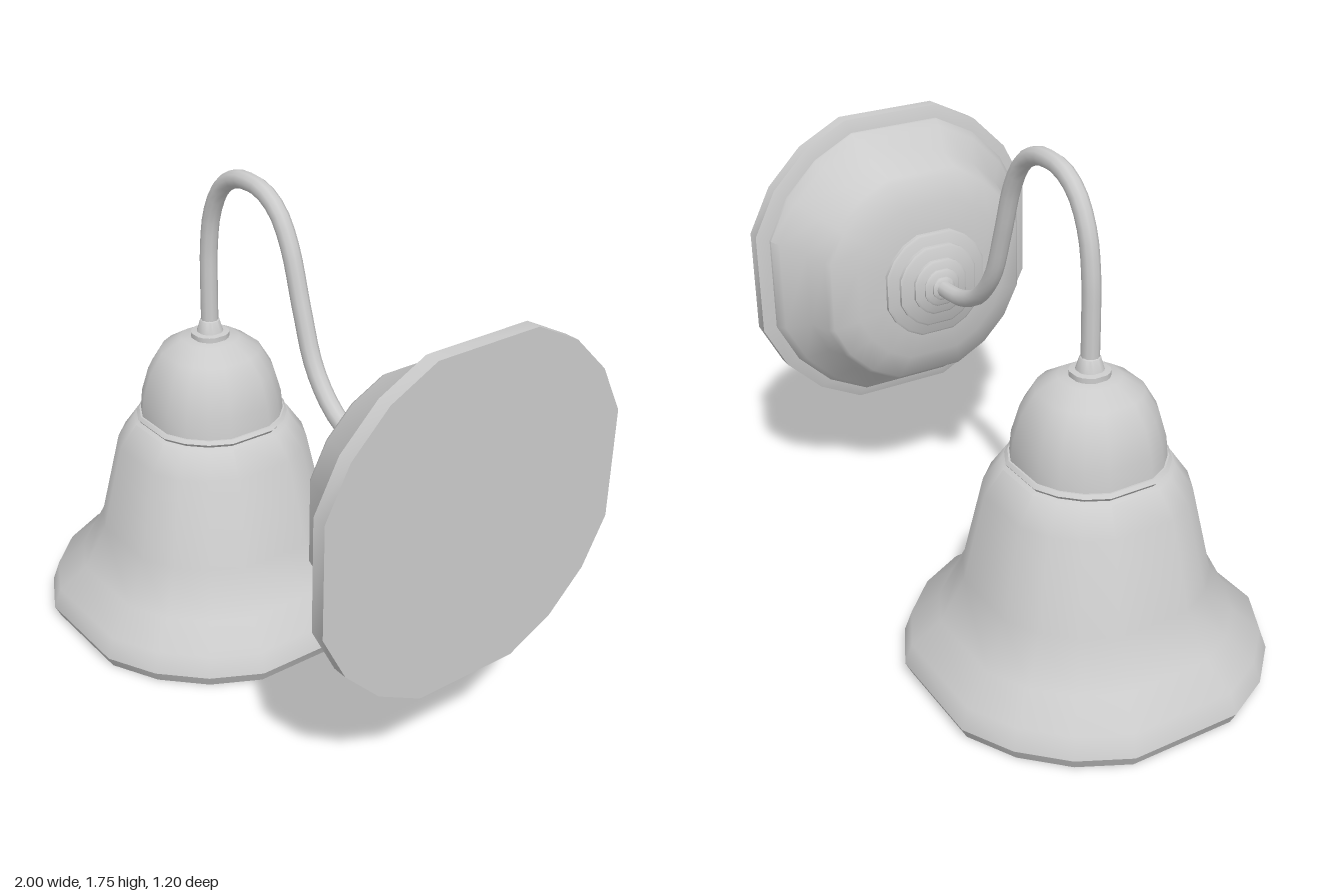
import * as THREE from 'three';
import { toCreasedNormals } from 'three/addons/utils/BufferGeometryUtils.js';

const material = new THREE.MeshStandardMaterial({ color: 0xcccccc });
const SIDES = 16;
const FLAT = 0.949; // half-width across the wide flats relative to the corner radius

function addMesh(group, name, geometry) {
  const mesh = new THREE.Mesh(geometry, material);
  mesh.name = name;
  group.add(mesh);
  return mesh;
}

// Turned part with 16 sides, four of them wide; profile is [half-width, height], bottom to top
function turned(profile) {
  const points = profile.map(([r, y]) => new THREE.Vector2(r / FLAT, y));
  const geometry = new THREE.LatheGeometry(points, SIDES, Math.PI / SIDES);
  const p = geometry.attributes.position;
  for (let i = 0; i < p.count; i++) {
    const x = p.getX(i), z = p.getZ(i);
    const r = Math.hypot(x, z);
    const quarter = Math.PI / 2;
    const angle = Math.atan2(x, z);
    const middle = (Math.floor(angle / quarter) + 0.5) * quarter;
    // Draw the corners of each quarter towards its diagonal
    const moved = middle + (angle - middle) * 0.788;
    p.setXYZ(i, r * Math.sin(moved), p.getY(i), r * Math.cos(moved));
  }
  return toCreasedNormals(geometry, 0.75);
}

export function createModel() {
  const lamp = new THREE.Group();
  lamp.name = 'wallLamp';

  // Bell with bulb, hanging on its own axis
  const head = new THREE.Group();
  head.name = 'lampHead';
  head.position.x = -0.4;
  lamp.add(head);

  // Hollow shade: down the inside, round the rim, up the outside
  addMesh(head, 'shade', turned([
    [0, 0.75], [0.24, 0.74], [0.3, 0.66], [0.37, 0.36], [0.45, 0.19],
    [0.54, 0.11], [0.555, 0.045], [0.55, 0.003], [0.58, 0.003], [0.6, 0.045],
    [0.575, 0.12], [0.48, 0.2], [0.4, 0.36], [0.33, 0.68], [0.27, 0.77], [0.2, 0.79],
  ]));
  addMesh(head, 'capRing', turned([
    [0.22, 0.775], [0.252, 0.775], [0.262, 0.788], [0.252, 0.8], [0.22, 0.8],
  ]));
  addMesh(head, 'cap', turned([
    [0.247, 0.79], [0.24, 0.87], [0.215, 0.96], [0.17, 1.04], [0.1, 1.085], [0, 1.09],
  ]));
  addMesh(head, 'collar', turned([
    [0.065, 1.08], [0.065, 1.105], [0.045, 1.108], [0.033, 1.15], [0.025, 1.155],
  ]));

  // Bulb and its socket
  addMesh(head, 'bulb', new THREE.SphereGeometry(0.15, 20, 14)).position.y = 0.36;
  addMesh(head, 'bulbSocket', turned([
    [0, 0.44], [0.1, 0.45], [0.08, 0.56], [0.08, 0.76],
  ]));

  // Swan-neck arm
  const path = new THREE.CatmullRomCurve3([
    [-0.4, 1.1], [-0.4, 1.28], [-0.395, 1.43], [-0.37, 1.56], [-0.31, 1.665],
    [-0.23, 1.717], [-0.15, 1.728], [-0.07, 1.718], [0.01, 1.67], [0.075, 1.57],
    [0.14, 1.38], [0.21, 1.2], [0.31, 1.085], [0.42, 1.03], [0.5, 1.015], [0.6, 1.012],
  ].map(([x, y]) => new THREE.Vector3(x, y, 0)));
  addMesh(lamp, 'arm', new THREE.TubeGeometry(path, 40, 0.031, 10));

  // Wall mount: turned parts stacked outward from the wall
  const mount = new THREE.Group();
  mount.name = 'wallMount';
  mount.position.set(1, 1.012, 0);
  mount.rotation.z = Math.PI / 2;
  lamp.add(mount);

  addMesh(mount, 'wallPlate', turned([
    [0, 0], [0.57, 0], [0.57, 0.05], [0.52, 0.07], [0.4, 0.07],
  ]));
  addMesh(mount, 'canopy', turned([
    [0.525, 0.06], [0.525, 0.08], [0.505, 0.11], [0.43, 0.18], [0.405, 0.28],
    [0.39, 0.3], [0.3, 0.335], [0.2, 0.355], [0, 0.358],
  ]));

  // Stepped boss where the arm enters
  const steps = [[0.2, 0.34, 0.375], [0.155, 0.37, 0.395], [0.105, 0.39, 0.412],
    [0.07, 0.41, 0.424], [0.043, 0.42, 0.437]];
  for (const [r, low, high] of steps) {
    addMesh(mount, 'bossStep', turned([
      [r, low], [r, high - 0.006], [r - 0.008, high], [0, high],
    ]));
  }
  return lamp;
}
